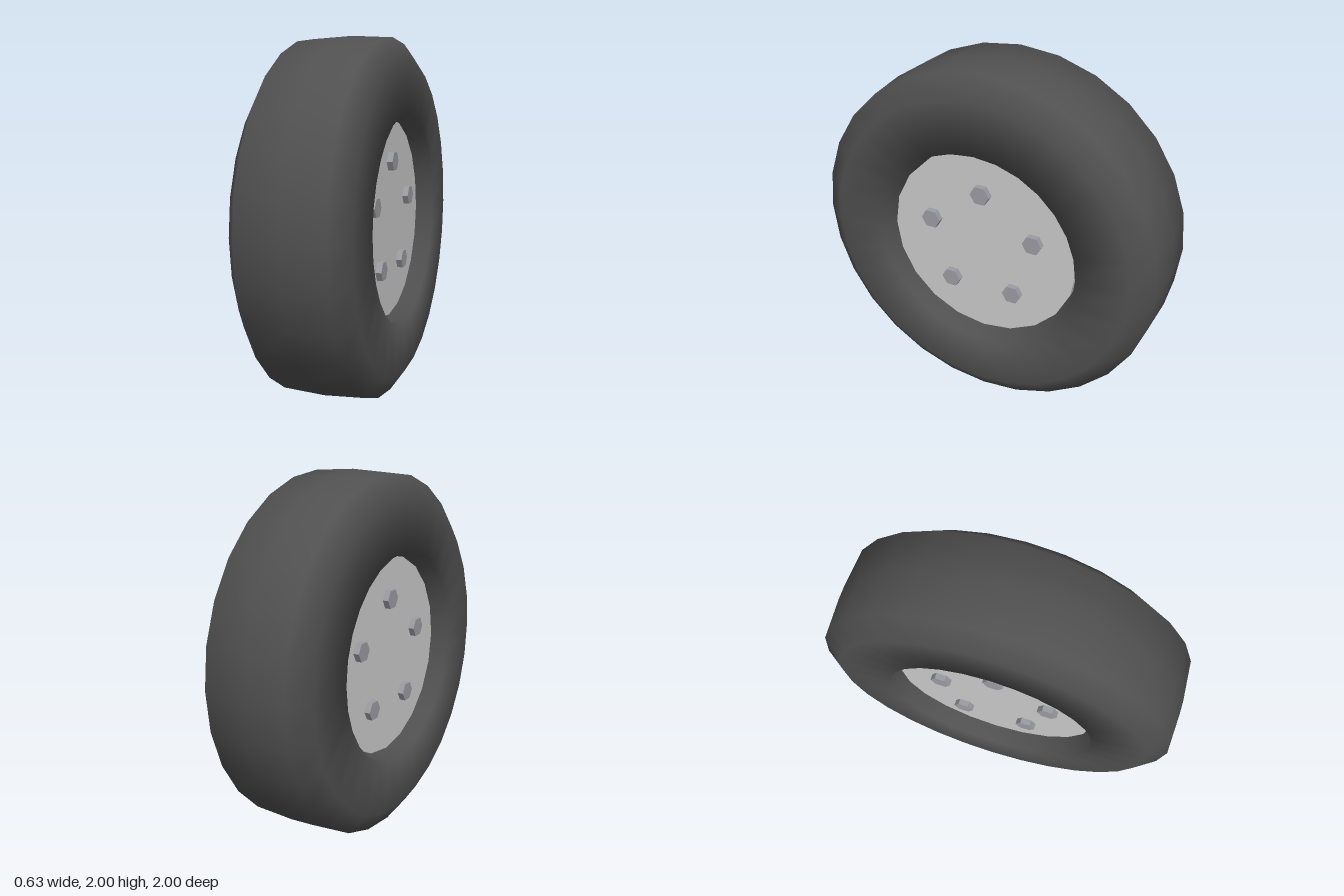
import * as THREE from 'three';

const tyreMaterial = new THREE.MeshStandardMaterial({ color: 0x505050 });
const rimMaterial = new THREE.MeshStandardMaterial({ color: 0xcccccc });
const boltMaterial = new THREE.MeshStandardMaterial({ color: 0x9c9ca4 });

export function createModel() {
  const wheel = new THREE.Group();
  wheel.name = 'wheel';
  const add = (name, geometry, material, x, y, z) => {
    const mesh = new THREE.Mesh(geometry, material);
    mesh.name = name;
    mesh.position.set(x, y, z);
    wheel.add(mesh);
  };

  // Tyre: closed profile (radius, axle) starting at the middle of the inner wall
  const half = [[0.58, 0.315], [0.87, 0.315], [0.987, 0.233]];
  const profile = [
    [0.58, 0],
    ...half.map(([r, a]) => [r, -a]),
    [1, 0],
    ...half.slice().reverse(),
    [0.58, 0],
  ].map(([r, a]) => new THREE.Vector2(r, a));
  const tyre = new THREE.LatheGeometry(profile, 28).rotateZ(-Math.PI / 2);
  add('tyre', tyre, tyreMaterial, 0, 1, 0);

  // Rim disc, standing free inside the tyre with a narrow gap
  const rim = new THREE.CylinderGeometry(0.55, 0.55, 0.44, 20).rotateZ(-Math.PI / 2);
  add('rim', rim, rimMaterial, 0, 1, 0);

  // Five hexagonal wheel bolts on each face
  const bolt = new THREE.CylinderGeometry(0.056, 0.056, 0.04, 6)
    .toNonIndexed()
    .rotateZ(-Math.PI / 2);
  bolt.computeVertexNormals();
  for (const side of [-1, 1]) {
    for (let i = 0; i < 5; i++) {
      const angle = (i * Math.PI * 2) / 5;
      add(side > 0 ? 'leftBolt' : 'rightBolt', bolt, boltMaterial,
        side * 0.233, 1 + 0.32 * Math.cos(angle), 0.32 * Math.sin(angle));
    }
  }
  return wheel;
}
